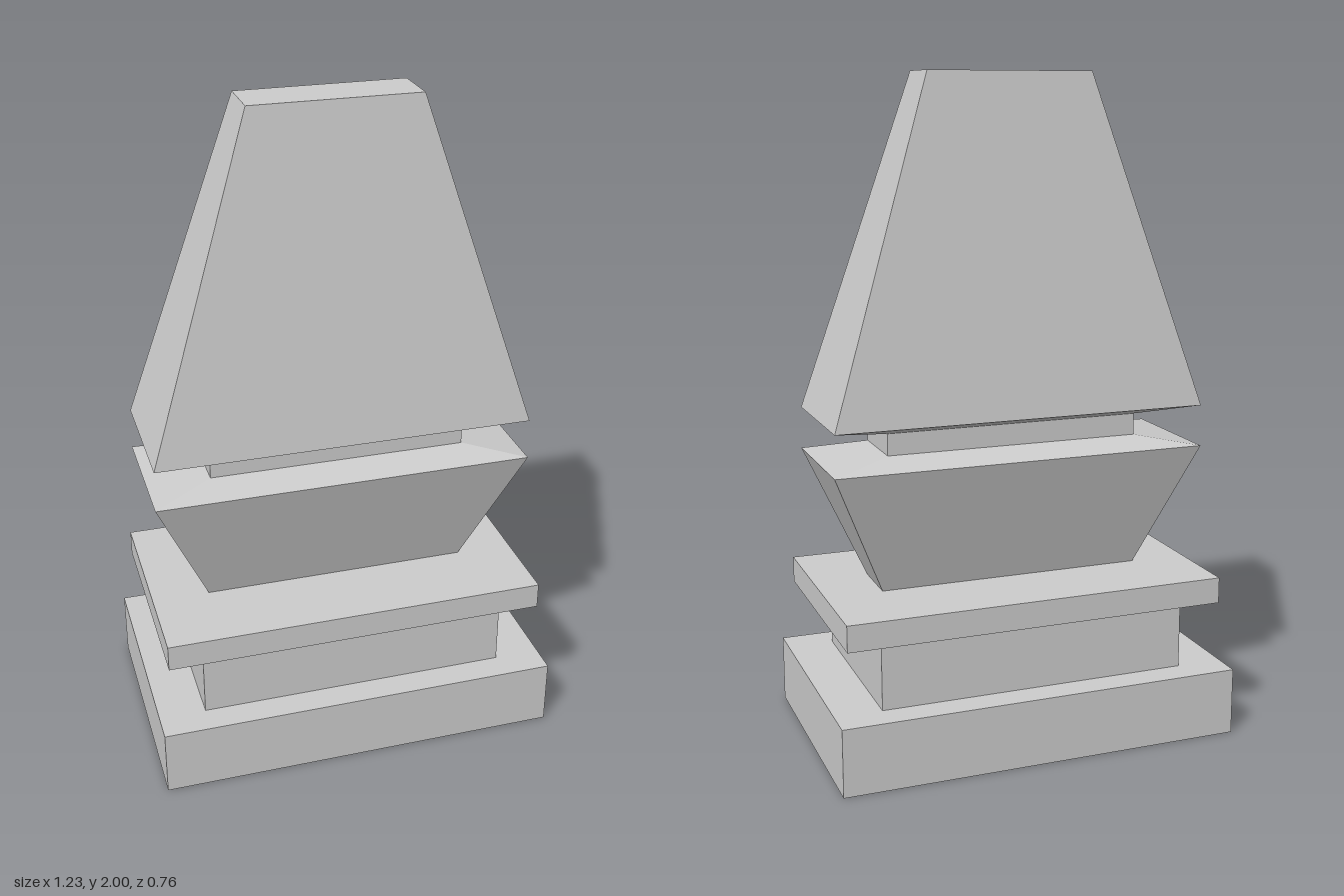
import * as THREE from 'three';

// Corners of a rectangular section, counter-clockwise from above
const CORNERS = [[1, 1], [1, -1], [-1, -1], [-1, 1]];

// Lofts rectangular sections [y, halfWidth, halfDepth] from bottom to top
function loft(sections, { capBottom = false, capTop = false } = {}) {
  const positions = [];
  const rings = sections.map(([y, w, d]) => CORNERS.map(([sx, sz]) => [sx * w, y, sz * d]));
  const quad = (a, b, c, d) => positions.push(...a, ...b, ...c, ...a, ...c, ...d);
  for (let s = 0; s < rings.length - 1; s++) {
    const low = rings[s], high = rings[s + 1];
    for (let i = 0; i < 4; i++) {
      const j = (i + 1) % 4;
      quad(low[i], low[j], high[j], high[i]);
    }
  }
  const top = rings[rings.length - 1];
  if (capBottom) quad(...[...rings[0]].reverse());
  if (capTop) quad(...top);
  const geometry = new THREE.BufferGeometry();
  geometry.setAttribute('position', new THREE.Float32BufferAttribute(positions, 3));
  geometry.computeVertexNormals();
  return geometry;
}

export function createModel() {
  const group = new THREE.Group();
  const material = new THREE.MeshStandardMaterial({ color: 0xcccccc, flatShading: true });
  const add = (name, sections, caps) => {
    const mesh = new THREE.Mesh(loft(sections, caps), material);
    mesh.name = name;
    group.add(mesh);
  };

  // Stepped pedestal: foot, narrow block, overhanging slab
  add('pedestalFoot', [[0, 0.617, 0.378], [0.205, 0.617, 0.378], [0.205, 0.475, 0.29]], { capBottom: true });
  add('pedestalBlock', [[0.205, 0.475, 0.29], [0.41, 0.475, 0.29]]);
  add('pedestalSlab', [[0.41, 0.475, 0.29], [0.41, 0.585, 0.332], [0.49, 0.585, 0.332], [0.49, 0.41, 0.085]]);

  // Flared body with a shallow sloping shoulder
  add('flaredBody', [[0.49, 0.41, 0.085], [0.877, 0.577, 0.204], [0.907, 0.394, 0.108]]);

  // Recessed neck
  add('neck', [[0.907, 0.394, 0.108], [0.973, 0.394, 0.108]]);

  // Tall tapering head with a bevelled underside and flat top
  add('taperedHead', [[0.973, 0.394, 0.108], [1.004, 0.574, 0.204], [2, 0.253, 0.08]], { capTop: true });

  return group;
}
